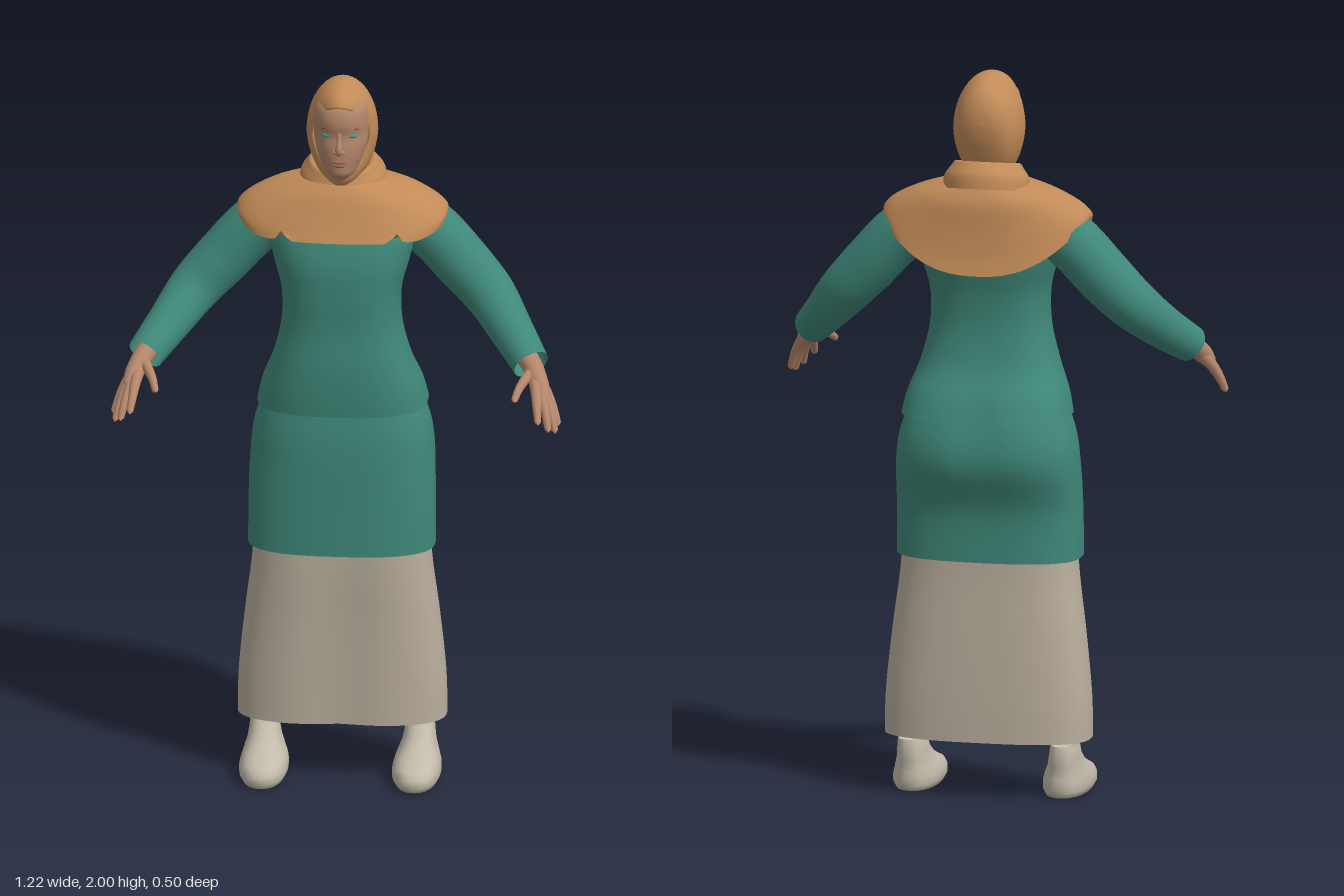
import * as THREE from 'three';

const mat = (name, color, double = false) => {
  const m = new THREE.MeshStandardMaterial({ color });
  m.name = name;
  if (double) m.side = THREE.DoubleSide;
  return m;
};
const teal = mat('teal fabric', 0x3f8879, true);
const tan = mat('tan scarf', 0xc28b58, true);
const beige = mat('beige skirt', 0xb9ae9d, true);
const shoeGrey = mat('pale shoe', 0xc2baaa);
const skin = mat('skin', 0xb5876b);
const iris = mat('eye teal', 0x3a9a96);
const lip = mat('lip', 0x9c6a58);
const dark = mat('brow', 0x5a4438);

const TAU = Math.PI * 2;
const pow = (v, e) => Math.sign(v) * Math.abs(v) ** e;
const bump = (v, w) => Math.exp(-(v * v) / (w * w));

// Catmull-Rom interpolation of rows of numbers
function smooth(rows, steps) {
  const out = [], last = rows.length - 1;
  for (let i = 0; i < last; i++) {
    const p = [rows[Math.max(i - 1, 0)], rows[i], rows[i + 1], rows[Math.min(i + 2, last)]];
    for (let k = 0; k < steps; k++) {
      const t = k / steps;
      out.push(p[0].map((_, c) => {
        const [a, b, d, e] = p.map((r) => r[c]);
        return b + 0.5 * t * (d - a + t * (2 * a - 5 * b + 4 * d - e + t * (3 * (b - d) + e - a)));
      }));
    }
  }
  out.push(rows[last]);
  return out;
}

// Closed rings joined into a smooth skin; point(row, angle) gives [x, y, z]
function loft(rows, point, seg = 48) {
  const pos = [], idx = [];
  rows.forEach((row, i) => {
    for (let j = 0; j < seg; j++) {
      pos.push(...point(row, (j / seg) * TAU));
      if (i === rows.length - 1) continue;
      const a = i * seg + j, b = i * seg + ((j + 1) % seg);
      idx.push(a, b, b + seg, a, b + seg, a + seg);
    }
  });
  const g = new THREE.BufferGeometry();
  g.setAttribute('position', new THREE.Float32BufferAttribute(pos, 3));
  g.setIndex(idx);
  g.computeVertexNormals();
  return g;
}

// Horizontal section [y, centreX, halfWidth, frontZ, backZ]; a higher n is boxier
const section = (n) => ([y, cx, hw, zf, zb], a) => [
  cx + hw * pow(Math.sin(a), 2 / n),
  y,
  (zf + zb) / 2 + ((zf - zb) / 2) * pow(Math.cos(a), 2 / n),
];

// Tapering tube through points [x, y, z, radius]
function limb(points, sides = 16, steps = 24) {
  const curve = new THREE.CatmullRomCurve3(points.map((p) => new THREE.Vector3(p[0], p[1], p[2])));
  const g = new THREE.TubeGeometry(curve, steps, 1, sides);
  const pos = g.attributes.position, v = new THREE.Vector3();
  for (let i = 0; i <= steps; i++) {
    const u = i / steps, c = curve.getPointAt(u);
    const f = curve.getUtoTmapping(u) * (points.length - 1);
    const k = Math.min(Math.floor(f), points.length - 2);
    const r = THREE.MathUtils.lerp(points[k][3], points[k + 1][3], f - k);
    for (let j = 0; j <= sides; j++) {
      const n = i * (sides + 1) + j;
      v.fromBufferAttribute(pos, n).sub(c).multiplyScalar(r).add(c);
      pos.setXYZ(n, v.x, v.y, v.z);
    }
  }
  return g;
}

export function createModel() {
  const model = new THREE.Group();
  model.name = 'standingWoman';
  const add = (name, geo, material, parent = model) => {
    const m = new THREE.Mesh(geo, material);
    m.name = name;
    parent.add(m);
    return m;
  };
  const ball = (name, material, p, s, parent) => {
    const m = add(name, new THREE.SphereGeometry(1, 20, 14), material, parent);
    m.position.set(...p);
    m.scale.set(...s);
    return m;
  };

  // Long skirt, slightly hollow between the legs
  const body = section(2.7);
  add('skirt', loft(smooth([
    [0.16, 0, 0.285, 0.062, -0.195], [0.28, 0, 0.282, 0.064, -0.193], [0.45, 0, 0.265, 0.068, -0.186],
    [0.6, 0, 0.246, 0.074, -0.178], [0.74, 0, 0.235, 0.076, -0.175]], 5), (r, a) => {
    const p = body(r, a);
    if (p[2] > 0) p[2] -= 0.015 * bump(p[0], 0.08);
    return p;
  }), beige);

  // Tunic skirt and fitted top, with a shallow hollow at the seat
  const seat = (r, a) => {
    const p = body(r, a);
    if (p[2] < -0.1) p[2] += 0.012 * bump(p[0], 0.04) * bump(r[0] - 1.03, 0.12);
    return p;
  };
  add('lowerTunic', loft(smooth([
    [0.66, 0, 0.255, 0.09, -0.188], [0.8, 0, 0.254, 0.088, -0.192], [0.92, 0, 0.25, 0.087, -0.235],
    [1.0, 0, 0.24, 0.083, -0.235], [1.08, 0, 0.215, 0.072, -0.21]], 5), seat), teal);
  add('tunicTop', loft(smooth([
    [1.06, 0, 0.232, 0.08, -0.25], [1.12, 0, 0.218, 0.085, -0.225], [1.2, 0, 0.188, 0.087, -0.182],
    [1.3, 0, 0.164, 0.082, -0.163], [1.4, 0, 0.163, 0.086, -0.168], [1.49, 0, 0.186, 0.085, -0.188],
    [1.57, 0, 0.2, 0.066, -0.198], [1.63, 0, 0.17, 0.04, -0.185], [1.68, 0, 0.09, 0, -0.16]], 5), seat), teal);

  // Shoulder cape: hem low at the back, with two small notches in front
  const hemY = (a) => {
    const c = Math.cos(a);
    return c > 0 ? 1.605 - 0.038 * Math.min(1, c * 1.4) : 1.605 - 0.135 * c * c;
  };
  const cape = section(2.4);
  add('scarfCape', loft(smooth([
    [1, 0, 0.283, 0.088, -0.242], [0.8, 0, 0.285, 0.074, -0.228], [0.5, 0, 0.25, 0.055, -0.215],
    [0.2, 0, 0.18, 0.036, -0.205], [0, 0, 0.09, 0.015, -0.175]], 4), (r, a) => {
    const p = cape(r, a), top = 1.71;
    p[1] = top + (hemY(a) - top) * r[0];
    if (p[2] > 0 && r[0] > 0.9) p[1] += 0.03 * bump(Math.abs(p[0]) - 0.155, 0.012) * (r[0] - 0.9) * 10;
    return p;
  }, 96), tan);

  // Rolled collar, higher at the back
  const collar = add('scarfCollar', loft(smooth([
    [-0.04, 0, 0.118, 0.112, -0.112], [-0.005, 0, 0.116, 0.112, -0.112], [0.02, 0, 0.1, 0.098, -0.098],
    [0.035, 0, 0.088, 0.085, -0.085], [0.03, 0, 0.07, 0.065, -0.065]], 4), section(2)), tan);
  collar.position.set(0, 1.72, -0.09);
  collar.rotation.x = 0.22;

  // Head: face under a hood
  const head = new THREE.Group();
  head.name = 'head';
  model.add(head);
  add('face', loft(smooth([
    [1.69, 0, 0.04, 0.0, -0.1], [1.735, 0, 0.036, 0.035, -0.1], [1.752, 0, 0.046, 0.054, -0.1],
    [1.775, 0, 0.056, 0.058, -0.11], [1.8, 0, 0.065, 0.06, -0.11], [1.83, 0, 0.072, 0.06, -0.11],
    [1.865, 0, 0.075, 0.056, -0.11], [1.9, 0, 0.075, 0.062, -0.11], [1.94, 0, 0.07, 0.052, -0.1],
    [1.97, 0, 0.04, 0.02, -0.08]], 4), section(2.15)), skin, head);
  // Hood rows run from the face opening to the back:
  // [halfWidth, topY, bottomY, topZ, sideZ, bottomZ, lowerTaper]
  add('hood', loft(smooth([
    [0.072, 1.945, 1.745, 0.05, -0.025, 0.015, 0.2], [0.077, 1.954, 1.736, 0.06, -0.012, 0.032, 0.2],
    [0.09, 1.982, 1.71, 0.028, -0.024, 0.015, 0.15], [0.097, 2.0, 1.69, -0.04, -0.05, -0.04, 0.1],
    [0.093, 1.99, 1.7, -0.095, -0.095, -0.09, 0.08], [0.072, 1.96, 1.74, -0.143, -0.143, -0.13, 0],
    [0.038, 1.92, 1.82, -0.165, -0.165, -0.162, 0], [0.001, 1.876, 1.874, -0.171, -0.171, -0.171, 0]], 5),
  ([hw, yt, yb, zt, zs, zb, taper], a) => {
    const s = Math.sin(a), c = Math.cos(a), low = Math.max(0, -c);
    return [hw * s * (1 - taper * low), (yt + yb) / 2 + ((yt - yb) / 2) * c,
      zs + ((c > 0 ? zt : zb) - zs) * c * c];
  }), tan, head);

  // Facial features
  add('nose', limb([[0, 1.885, 0.05, 0.006], [0, 1.855, 0.061, 0.007], [0, 1.832, 0.07, 0.01],
    [0, 1.822, 0.066, 0.009], [0, 1.818, 0.056, 0.004]], 12, 16), skin, head);
  ball('upperLip', lip, [0, 1.793, 0.058], [0.019, 0.005, 0.007], head);
  ball('lowerLip', lip, [0, 1.783, 0.057], [0.016, 0.006, 0.007], head);

  for (const s of [1, -1]) {
    const side = s > 0 ? 'left' : 'right';
    const mirror = (pts) => pts.map(([x, ...rest]) => [x * s, ...rest]);
    ball(side + 'Nostril', skin, [0.01 * s, 1.822, 0.06], [0.007, 0.006, 0.009], head);
    ball(side + 'Eye', iris, [0.036 * s, 1.866, 0.045], [0.014, 0.006, 0.006], head).rotation.y = 0.35 * s;
    ball(side + 'Brow', dark, [0.036 * s, 1.886, 0.0465], [0.018, 0.0025, 0.004], head).rotation.y = 0.4 * s;

    // Sleeve, bent forward at the elbow
    add(side + 'Sleeve', limb(mirror([
      [0.15, 1.6, -0.1, 0.065], [0.235, 1.55, -0.1, 0.079], [0.33, 1.45, -0.092, 0.077],
      [0.4, 1.375, -0.07, 0.071], [0.465, 1.3, 0.005, 0.06], [0.525, 1.235, 0.09, 0.051]]), 24, 40), teal);

    // Hand: palm strands run on into the fingers
    const hand = new THREE.Group();
    hand.name = side + 'Hand';
    model.add(hand);
    add('palm', limb(mirror([[0.505, 1.255, 0.06, 0.03], [0.532, 1.228, 0.1, 0.028], [0.552, 1.195, 0.138, 0.026],
      [0.564, 1.17, 0.162, 0.018], [0.568, 1.16, 0.17, 0]]), 14, 16), skin, hand);
    // Each digit: knuckle, middle joint and tip
    const digits = {
      thumb: [[0.515, 1.212, 0.14], [0.498, 1.193, 0.178], [0.487, 1.17, 0.215]],
      indexFinger: [[0.546, 1.18, 0.178], [0.551, 1.15, 0.218], [0.556, 1.118, 0.25]],
      middleFinger: [[0.56, 1.17, 0.17], [0.574, 1.13, 0.205], [0.583, 1.09, 0.23]],
      ringFinger: [[0.571, 1.162, 0.158], [0.589, 1.118, 0.185], [0.6, 1.078, 0.204]],
      littleFinger: [[0.577, 1.16, 0.143], [0.595, 1.12, 0.16], [0.606, 1.088, 0.172]],
    };
    for (const [name, [k, m, t]] of Object.entries(digits)) {
      const near = t.map((v, i) => v + (m[i] - v) * 0.15);
      add(name, limb(mirror([[0.534, 1.222, 0.105, 0.02], [...k, 0.0145], [...m, 0.0115],
        [...near, 0.009], [...t, 0]]), 10, 18), skin, hand);
    }

    // Shoe
    const shoe = [
      [0, 0.208, 0.001, 0.011, 0.009], [0, 0.208, 0.058, 0.142, -0.122], [0.015, 0.208, 0.066, 0.152, -0.13],
      [0.035, 0.208, 0.066, 0.15, -0.13], [0.052, 0.208, 0.061, 0.132, -0.128], [0.066, 0.209, 0.055, 0.09, -0.126],
      [0.085, 0.21, 0.047, 0.045, -0.127], [0.11, 0.211, 0.042, 0.008, -0.128], [0.142, 0.212, 0.038, -0.012, -0.122],
      [0.138, 0.212, 0.034, -0.018, -0.116], [0.125, 0.212, 0.001, -0.064, -0.066]];
    add(side + 'Shoe', loft(shoe.map(([y, x, ...r]) => [y, x * s, ...r]), section(2.3), 36), shoeGrey);
  }
  return model;
}
